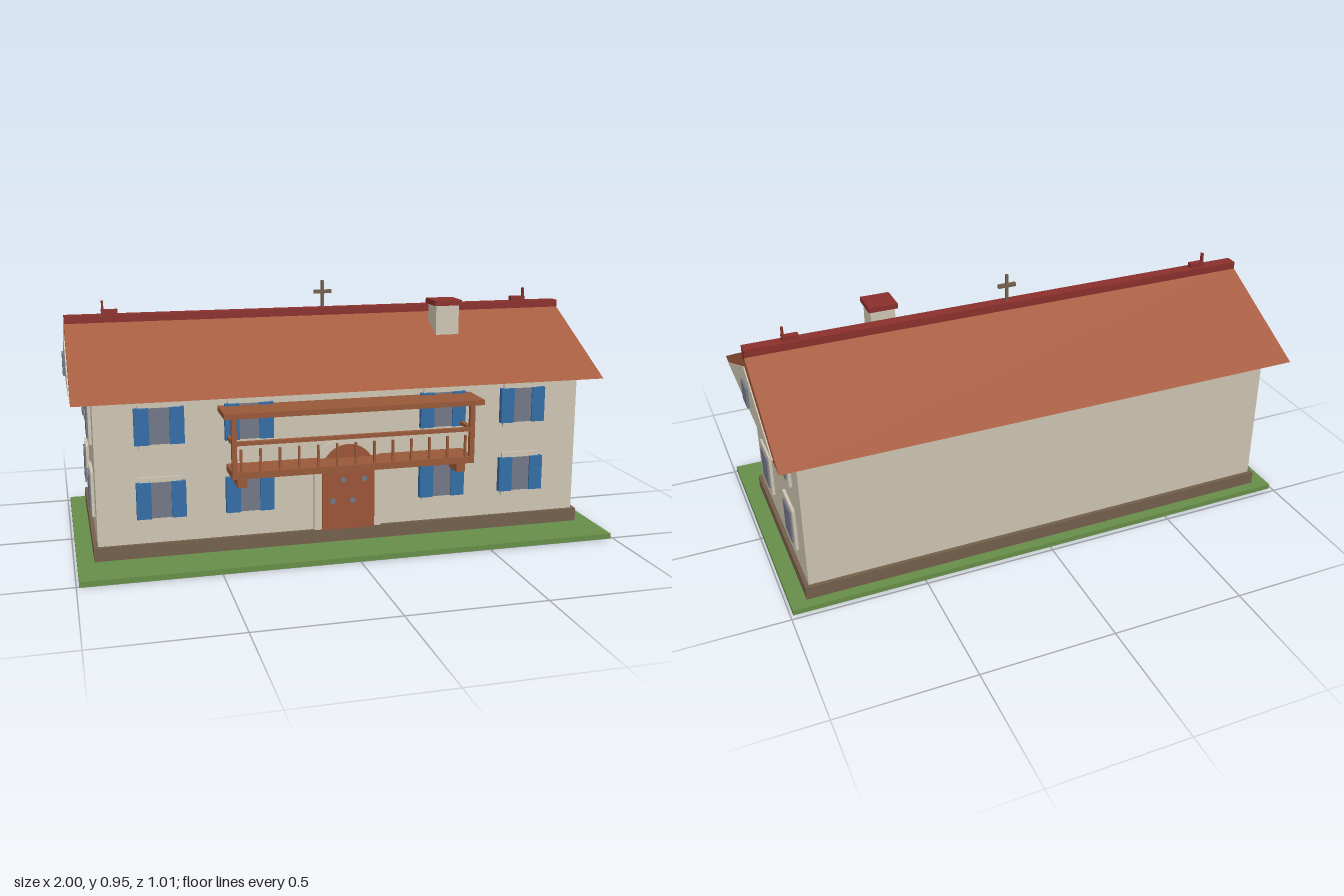
import * as THREE from 'three';

const mat = (name, color) => {
  const m = new THREE.MeshStandardMaterial({ color });
  m.name = name;
  return m;
};

export function createModel() {
  const house = new THREE.Group();
  house.name = 'house';
  const wall = mat('cream plaster', 0xd0c7b4);
  const roofTile = mat('terracotta tile', 0xa65d40);
  const red = mat('dark red ridge', 0x8c312d);
  const stone = mat('brown stone', 0x75614d);
  const grass = mat('grass green', 0x69904a);
  const blue = mat('shutter blue', 0x336ea8);
  const glass = mat('grey glass', 0x747988);
  const wood = mat('balcony wood', 0x9b5a3a);
  const doorWood = mat('door wood', 0x9c5537);

  const add = (name, geo, material, parent = house) => {
    const mesh = new THREE.Mesh(geo, material);
    mesh.name = name;
    parent.add(mesh);
    return mesh;
  };
  // Box given by its limits on each axis
  const box = (name, material, [x0, x1], [y0, y1], [z0, z1], parent = house) => {
    const mesh = add(name, new THREE.BoxGeometry(x1 - x0, y1 - y0, z1 - z0), material, parent);
    mesh.position.set((x0 + x1) / 2, (y0 + y1) / 2, (z0 + z1) / 2);
    return mesh;
  };
  const group = (name, parent = house) => {
    const g = new THREE.Group();
    g.name = name;
    parent.add(g);
    return g;
  };

  // Ground, plinth and walls
  box('lawn', grass, [-0.99, 0.99], [0, 0.02], [-0.48, 0.505]);
  box('plinth', stone, [-0.93, 0.93], [0.02, 0.07], [-0.44, 0.327]);
  box('walls', wall, [-0.915, 0.915], [0.07, 0.605], [-0.425, 0.313]);

  // Triangular prism running along x, from a half span, base and apex height
  const ridgeZ = -0.057;
  const prism = (name, material, half, y0, y1, xa, xb) => {
    const s = new THREE.Shape();
    s.moveTo(-half, y0);
    s.lineTo(half, y0);
    s.lineTo(0, y1);
    s.closePath();
    const geo = new THREE.ExtrudeGeometry(s, { depth: xb - xa, bevelEnabled: false });
    geo.rotateY(Math.PI / 2);
    geo.translate(xa, 0, ridgeZ);
    return add(name, geo, material);
  };
  prism('roof', roofTile, 0.447, 0.6, 0.832, -0.987, 0.987);
  for (const s of [-1, 1]) {
    const [a, b] = s > 0 ? [0.986, 0.991] : [-0.991, -0.986];
    prism('gablePanel', wall, 0.368, 0.61, 0.775, a, b);
    box('gableWindow', glass, s > 0 ? [0.985, 1] : [-1, -0.985], [0.63, 0.71], [-0.096, -0.017]);
  }

  // Ridge, end finials, cross and chimney
  box('ridge', red, [-0.987, 0.987], [0.8, 0.848], [-0.081, -0.034]);
  for (const s of [-1, 1]) {
    const finial = group('ridgeFinial');
    box('finialBase', red, [-0.03, 0.03], [0.845, 0.866], [-0.07, -0.045], finial);
    box('finialPost', red, [s * 0.025 - 0.004, s * 0.025 + 0.004], [0.86, 0.9], [-0.063, -0.051], finial);
    finial.position.x = s * 0.82;
  }
  box('crossPost', stone, [-0.005, 0.005], [0.84, 0.952], [-0.063, -0.051]);
  box('crossArm', stone, [-0.035, 0.035], [0.902, 0.916], [-0.063, -0.051]);
  box('chimney', wall, [0.412, 0.505], [0.65, 0.862], [0.018, 0.108]);
  box('chimneyCap', red, [0.403, 0.513], [0.86, 0.88], [0.01, 0.119]);

  // Window facing +z, centred on the origin
  const makeWindow = (shutters) => {
    const w = group(shutters ? 'frontWindow' : 'sideWindow');
    box('windowFrame', wall, [-0.074, 0.074], [-0.084, 0.084], [-0.005, 0.009], w);
    box('windowPane', glass, [-0.05, 0.05], [-0.065, 0.065], [0.005, 0.015], w);
    if (shutters) for (const s of [-1, 1]) {
      const shutter = box('shutter', blue, [-0.026, 0.026], [-0.066, 0.066], [-0.005, 0.021], w);
      shutter.position.x = s * 0.062;
    }
    return w;
  };
  for (const y of [0.231, 0.501]) {
    for (const x of [-0.687, -0.367, 0.367, 0.687]) makeWindow(true).position.set(x, y, 0.313);
    for (const s of [-1, 1]) for (const z of [0.128, -0.241]) {
      const w = makeWindow(false);
      w.position.set(s * 0.917, y, z);
      w.rotation.y = s * Math.PI / 2;
    }
  }

  // Arched door with surround and studs
  const arch = (name, material, r, z0, z1) => {
    const s = new THREE.Shape();
    s.moveTo(-r, 0.07);
    s.lineTo(r, 0.07);
    s.lineTo(r, 0.292);
    s.absarc(0, 0.292, r, 0, Math.PI, false);
    s.closePath();
    const geo = new THREE.ExtrudeGeometry(s, { depth: z1 - z0, bevelEnabled: false, curveSegments: 20 });
    add(name, geo, material).position.z = z0;
  };
  arch('doorSurround', wall, 0.128, 0.305, 0.327);
  arch('door', doorWood, 0.1, 0.32, 0.336);
  for (const [x, y] of [[-0.02, 0.26], [0.06, 0.26], [-0.06, 0.18], [0.016, 0.18]]) {
    const stud = add('doorStud', new THREE.CylinderGeometry(0.011, 0.011, 0.008, 12), glass);
    stud.rotation.x = Math.PI / 2;
    stud.position.set(x, y, 0.335);
  }

  // Balcony with brackets, railing and canopy
  const balcony = group('balcony');
  box('balconyFloor', wood, [-0.45, 0.45], [0.32, 0.344], [0.31, 0.441], balcony);
  box('balconyCanopy', wood, [-0.478, 0.478], [0.541, 0.56], [0.31, 0.461], balcony);
  box('frontRail', wood, [-0.45, 0.45], [0.441, 0.454], [0.424, 0.443], balcony);
  for (const s of [-1, 1]) {
    const part = (name, w, x, y, z) => {
      box(name, wood, [-w / 2, w / 2], y, z, balcony).position.x = s * x;
    };
    part('bracket', 0.034, 0.41, [0.28, 0.321], [0.31, 0.412]);
    part('canopyPost', 0.018, 0.441, [0.34, 0.545], [0.422, 0.441]);
    part('sideRail', 0.016, 0.441, [0.441, 0.454], [0.31, 0.43]);
  }
  for (let i = 0; i < 13; i++) {
    const x = -0.417 + i * 0.0695;
    box('baluster', wood, [x - 0.004, x + 0.004], [0.34, 0.425], [0.427, 0.436], balcony);
  }
  return house;
}
